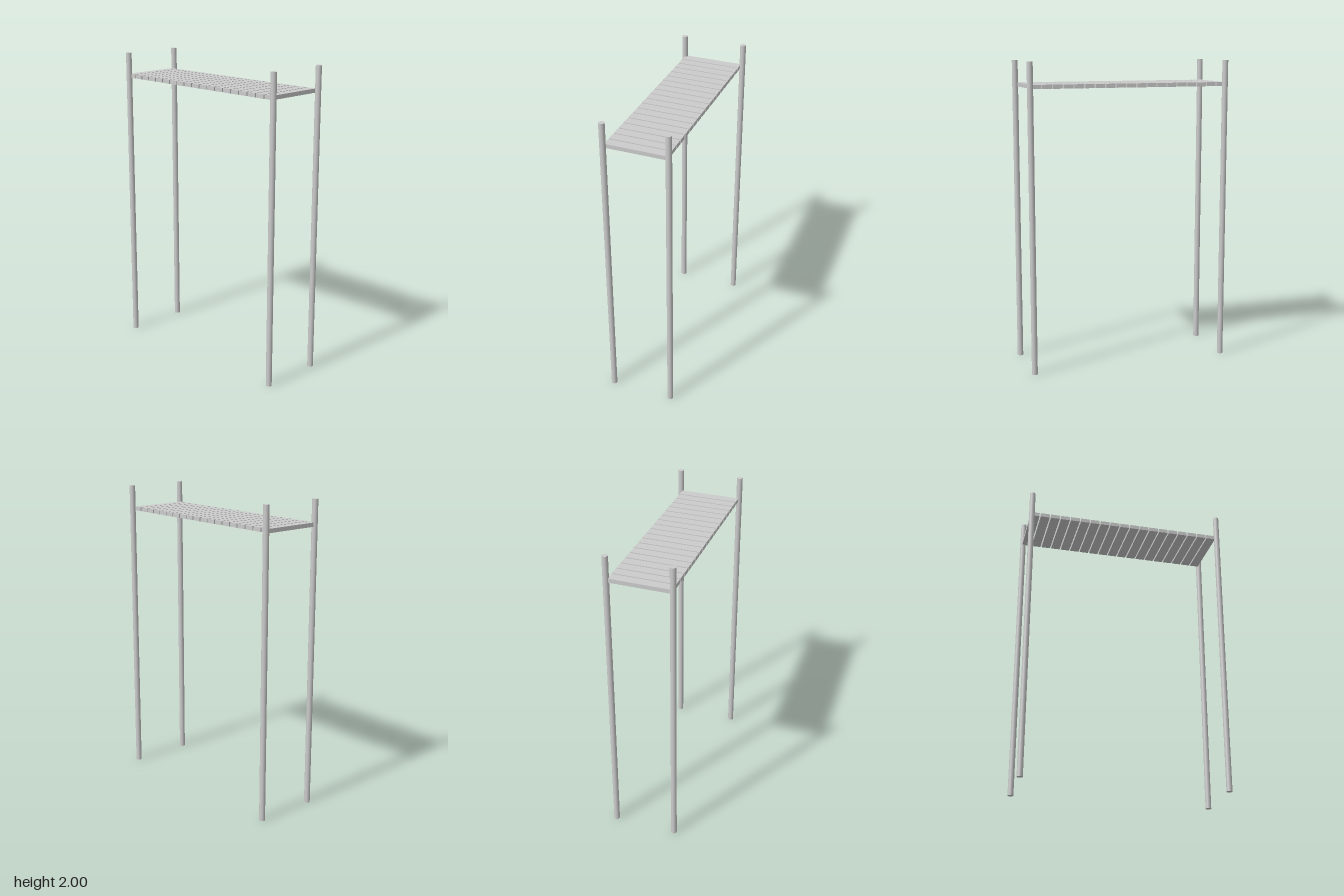
import * as THREE from 'three';

export function createModel() {
  const group = new THREE.Group();
  const material = new THREE.MeshStandardMaterial({ color: 0xcccccc });

  // Four tall round corner posts
  const postGeometry = new THREE.CylinderGeometry(0.019, 0.019, 2, 24);
  for (const x of [-0.205, 0.205]) {
    for (const z of [-0.656, 0.656]) {
      const post = new THREE.Mesh(postGeometry, material);
      post.name = `${z > 0 ? 'front' : 'back'}${x > 0 ? 'Left' : 'Right'}Post`;
      post.position.set(x, 1, z);
      group.add(post);
    }
  }

  // Row of deck planks with narrow gaps, set slightly off centre
  const deck = new THREE.Group();
  deck.name = 'deck';
  const plankCount = 19;
  const pitch = 0.0693;
  const plankGeometry = new THREE.BoxGeometry(0.394, 0.026, 0.061);
  for (let i = 0; i < plankCount; i++) {
    const plank = new THREE.Mesh(plankGeometry, material);
    plank.name = `plank${i + 1}`;
    plank.position.set(-0.005, 1.844, -0.633 + i * pitch);
    deck.add(plank);
  }
  group.add(deck);

  return group;
}
